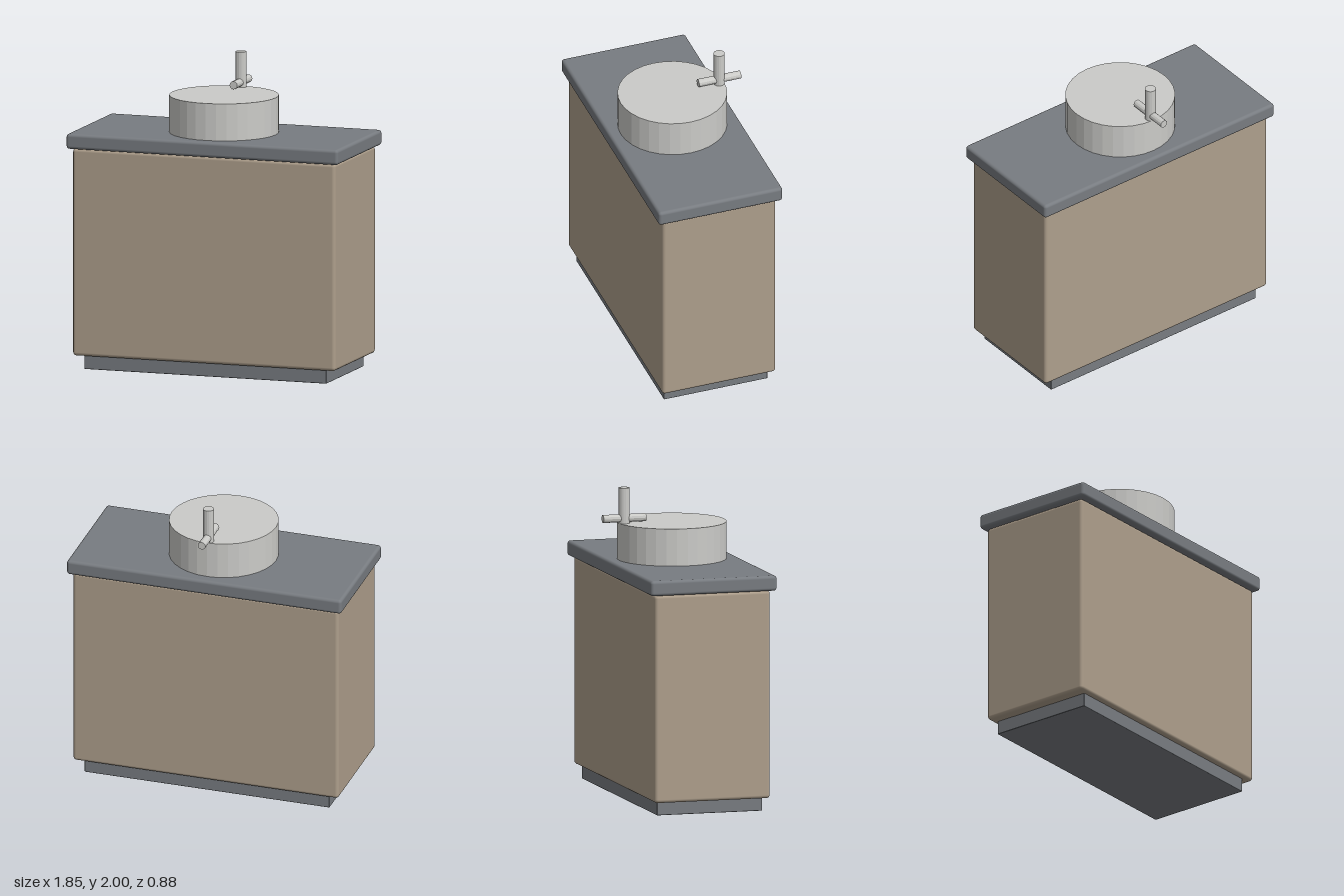
import * as THREE from 'three';
import { RoundedBoxGeometry } from 'three/addons/geometries/RoundedBoxGeometry.js';

function material(name, color, flatShading = false) {
  const m = new THREE.MeshStandardMaterial({ color, flatShading });
  m.name = name;
  return m;
}

export function createModel() {
  const group = new THREE.Group();
  group.name = 'washstand';
  const wood = material('beigeCabinet', 0xae9f8c);
  const stone = material('slateGrey', 0x787c81);
  const ceramic = material('paleGrey', 0xcbcbc8, true);

  function add(name, geometry, mat, x, y, z) {
    const mesh = new THREE.Mesh(geometry, mat);
    mesh.name = name;
    mesh.position.set(x, y, z);
    group.add(mesh);
    return mesh;
  }

  // Recessed plinth, cabinet body and overhanging countertop
  add('plinth', new RoundedBoxGeometry(1.646, 0.1, 0.704, 2, 0.005), stone, 0, 0.05, 0.022);
  add('cabinet', new RoundedBoxGeometry(1.784, 1.344, 0.77, 3, 0.022), wood, 0, 0.76, 0.022);
  add('countertop', new RoundedBoxGeometry(1.846, 0.098, 0.842, 3, 0.02), stone, 0, 1.481, 0.022);

  // Faceted round basin
  add('basin', new THREE.CylinderGeometry(0.351, 0.351, 0.25, 32), ceramic, 0, 1.645, 0.02);

  // Tap: upright post with a bar running front to back
  add('tapPost', new THREE.CylinderGeometry(0.036, 0.036, 0.235, 16), ceramic, 0, 1.8825, -0.298);
  const bar = add('tapBar', new THREE.CylinderGeometry(0.026, 0.026, 0.286, 12), ceramic, 0, 1.802, -0.298);
  bar.rotation.x = Math.PI / 2;

  return group;
}
